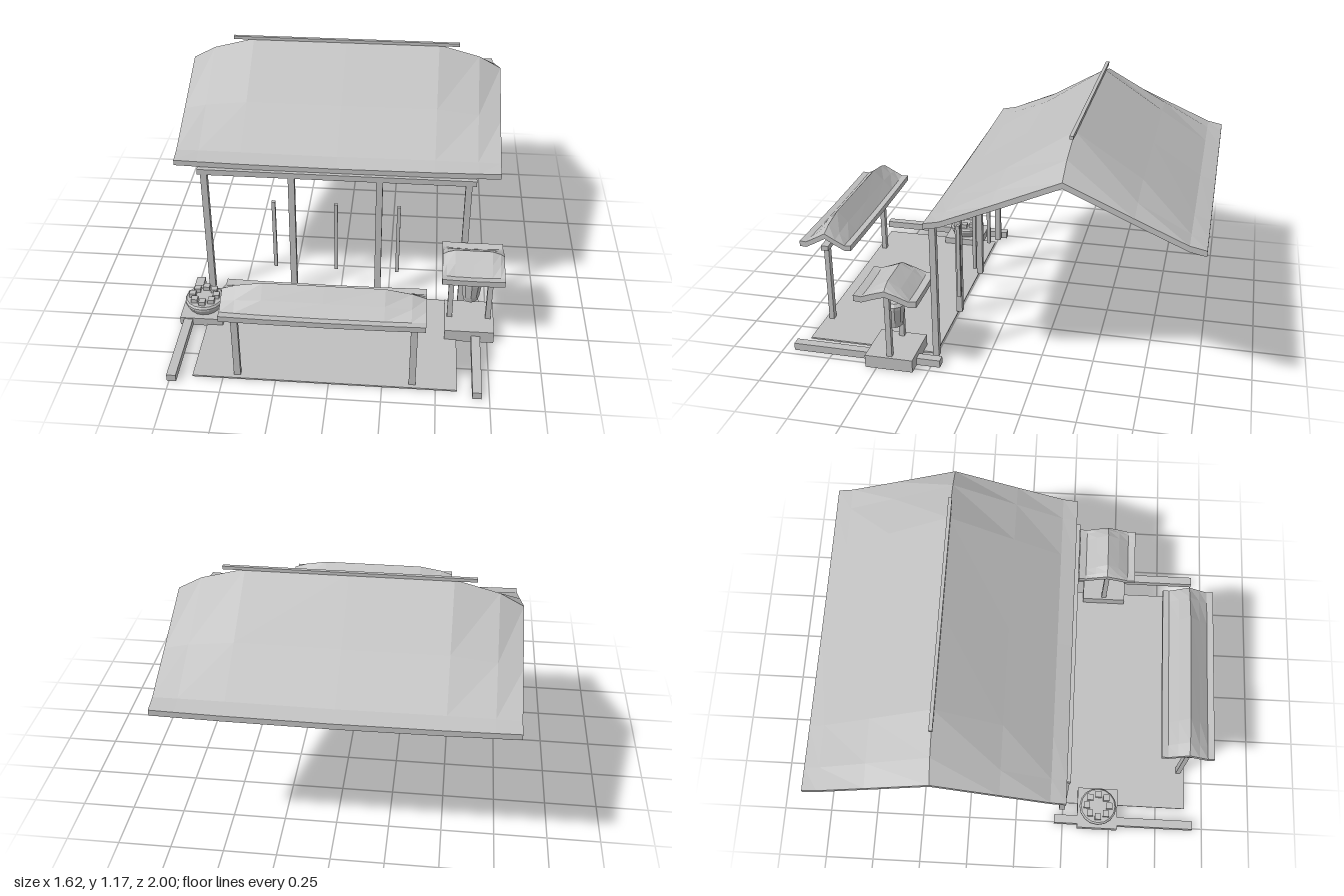
import * as THREE from 'three';

const grey = new THREE.MeshStandardMaterial({ color: 0xbfbfbf });
grey.name = 'plain grey';

// Box given by its limits on each axis
function box(parent, name, [x0, x1], [y0, y1], [z0, z1]) {
  const mesh = new THREE.Mesh(new THREE.BoxGeometry(x1 - x0, y1 - y0, z1 - z0), grey);
  mesh.position.set((x0 + x1) / 2, (y0 + y1) / 2, (z0 + z1) / 2);
  mesh.name = name;
  parent.add(mesh);
  return mesh;
}

// Round part turned from [radius, height] points, with flat facets
function turned(parent, name, points, sides, x, z) {
  const profile = points.map(([r, y]) => new THREE.Vector2(r, y));
  const geo = new THREE.LatheGeometry(profile, sides).toNonIndexed();
  geo.computeVertexNormals();
  const mesh = new THREE.Mesh(geo, grey);
  mesh.position.set(x, 0, z);
  mesh.name = name;
  parent.add(mesh);
}

// Curved gable roof: slabs lofted along x, with a ridge that droops at both ends.
// slope: [distance from ridge 0..1, height 0..1] from ridge to eave
function roof(parent, name, o) {
  const stations = [[-1, 1], [-0.86, 0.48], [-0.6, 0], [0, 0], [0.6, 0], [0.86, 0.48], [1, 1]];
  const half = o.slope;
  const line = [
    ...half.map(([u, h]) => [u, h]).reverse(),
    ...half.slice(1).map(([u, h]) => [-u, h]),
  ];
  const n = line.length;
  const loops = stations.map(([t, drop]) => {
    const eave = o.eave + o.lift * t * t;
    const ridge = o.ridge - o.drop * drop;
    const top = line.map(([u, h]) => [o.x + t * o.halfX, eave + (ridge - eave) * h, o.z + u * o.halfZ]);
    const bottom = top.map(([x, y, z]) => [x, y - o.thick, z]).reverse();
    return [...top, ...bottom];
  });
  const pos = [];
  const quad = (a, b, c, d) => pos.push(...a, ...b, ...c, ...a, ...c, ...d);
  const m = 2 * n;
  for (let i = 0; i < loops.length - 1; i++) {
    for (let j = 0; j < m; j++) {
      const k = (j + 1) % m;
      quad(loops[i][j], loops[i + 1][j], loops[i + 1][k], loops[i][k]);
    }
  }
  // Gable ends
  const a = loops[0], b = loops[loops.length - 1];
  for (let j = 0; j < n - 1; j++) {
    quad(a[j], a[j + 1], a[m - 2 - j], a[m - 1 - j]);
    quad(b[j], b[m - 1 - j], b[m - 2 - j], b[j + 1]);
  }
  const geo = new THREE.BufferGeometry();
  geo.setAttribute('position', new THREE.Float32BufferAttribute(pos, 3));
  geo.computeVertexNormals();
  const mesh = new THREE.Mesh(geo, grey);
  mesh.name = name;
  parent.add(mesh);
}

function group(parent, name) {
  const g = new THREE.Group();
  g.name = name;
  parent.add(g);
  return g;
}

export function createModel() {
  const model = new THREE.Group();
  model.name = 'courtyard';

  // Ground
  const ground = group(model, 'ground');
  box(ground, 'floor', [-0.645, 0.6], [0, 0.008], [0.255, 0.905]);
  for (const x of [-0.738, 0.692]) {
    box(ground, 'sideRail', [x - 0.022, x + 0.022], [0, 0.037], [0.205, 0.945]);
  }

  // Main hall
  const hall = group(model, 'hall');
  roof(hall, 'hallRoof', {
    x: -0.02, z: -0.378, halfX: 0.795, halfZ: 0.622, eave: 0.775, ridge: 1.155,
    drop: 0.117, lift: 0.01, thick: 0.028, slope: [[0, 1], [0.5, 0.46], [0.88, 0.06], [1, 0]],
  });
  box(hall, 'ridgePole', [-0.6, 0.56], [1.152, 1.168], [-0.387, -0.37]);
  box(hall, 'eaveBeam', [-0.7, 0.66], [0.72, 0.75], [0.227, 0.263]);
  for (const x of [-0.669, -0.238, 0.193, 0.624]) {
    box(hall, 'hallPost', [x - 0.016, x + 0.016], [0.015, 0.725], [0.23, 0.26]);
  }
  for (const x of [-0.335, -0.022, 0.291]) {
    box(hall, 'hangingSlat', [x - 0.009, x + 0.009], [0.155, 0.553], [0.21, 0.228]);
  }

  // Front gate
  const gate = group(model, 'gate');
  const curl = [[0, 1], [0.4, 0.43], [0.75, -0.04], [1, 0]];
  roof(gate, 'gateRoof', {
    x: -0.02, z: 0.863, halfX: 0.46, halfZ: 0.134, eave: 0.452, ridge: 0.552,
    drop: 0.042, lift: 0.006, thick: 0.028, slope: curl,
  });
  box(gate, 'gateBeam', [-0.465, 0.43], [0.412, 0.437], [0.853, 0.89]);
  for (const x of [-0.434, 0.391]) {
    box(gate, 'gatePost', [x - 0.016, x + 0.016], [0.008, 0.415], [0.86, 0.885]);
  }

  // Lantern shelter
  const shelter = group(model, 'lanternShelter');
  box(shelter, 'shelterBase', [0.54, 0.782], [0, 0.064], [0.32, 0.555]);
  roof(shelter, 'shelterRoof', {
    x: 0.661, z: 0.43, halfX: 0.148, halfZ: 0.152, eave: 0.398, ridge: 0.464,
    drop: 0.027, lift: 0.004, thick: 0.03, slope: [[0, 1], [0.4, 0.45], [0.75, -0.12], [1, 0]],
  });
  for (const x of [0.564, 0.754]) {
    box(shelter, 'shelterPost', [x - 0.013, x + 0.013], [0.064, 0.4], [0.424, 0.45]);
  }
  turned(shelter, 'lantern',
    [[0, 0.18], [0.035, 0.18], [0.043, 0.21], [0.052, 0.28], [0.052, 0.295], [0.038, 0.31], [0, 0.31]],
    10, 0.661, 0.437);

  // Basin with a ring of stones
  const basin = group(model, 'basin');
  box(basin, 'basinBase', [-0.78, -0.565], [0, 0.043], [0.328, 0.542]);
  turned(basin, 'bowl',
    [[0, 0.043], [0.078, 0.043], [0.098, 0.078], [0.098, 0.09], [0.09, 0.1], [0, 0.1]],
    16, -0.672, 0.435);
  for (let i = 0; i < 8; i++) {
    const x = -0.672 + 0.06 * Math.cos(i * Math.PI / 4);
    const z = 0.435 + 0.06 * Math.sin(i * Math.PI / 4);
    box(basin, 'stone', [x - 0.016, x + 0.016], [0.095, 0.122], [z - 0.016, z + 0.016]);
  }

  return model;
}
